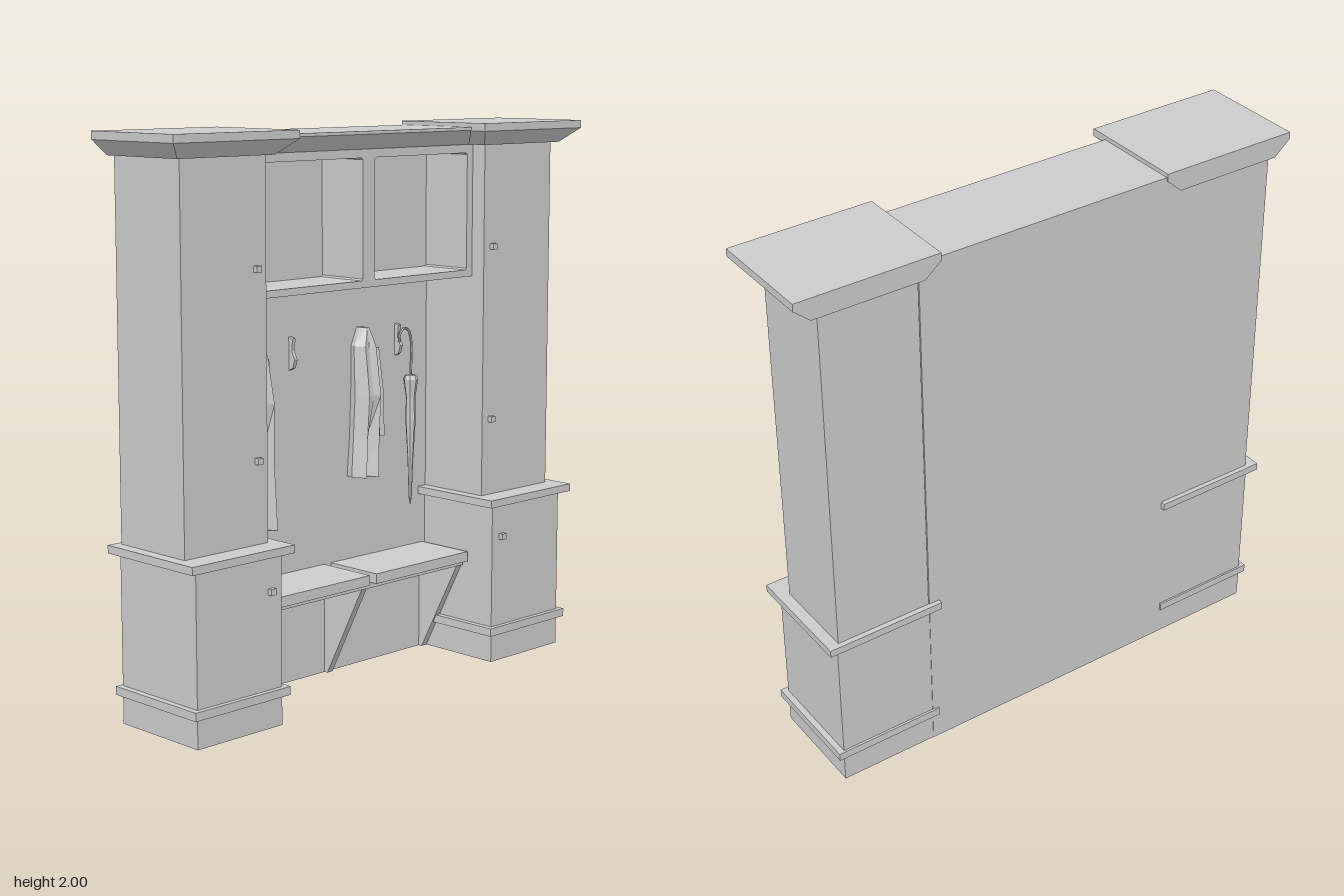
import * as THREE from 'three';

const grey = new THREE.MeshStandardMaterial({ color: 0xcccccc, flatShading: true, side: THREE.DoubleSide });

function add(parent, name, geometry) {
  const mesh = new THREE.Mesh(geometry, grey);
  mesh.name = name;
  parent.add(mesh);
  return mesh;
}

// Box given by its limits on each axis
function block(parent, name, x0, x1, y0, y1, z0, z1) {
  const g = new THREE.BoxGeometry(x1 - x0, y1 - y0, z1 - z0);
  g.translate((x0 + x1) / 2, (y0 + y1) / 2, (z0 + z1) / 2);
  return add(parent, name, g);
}

// Side profile of [z, y] points, extruded along x
function profile(parent, name, points, x0, x1) {
  const shape = new THREE.Shape(points.map(([z, y]) => new THREE.Vector2(-z, y)));
  const g = new THREE.ExtrudeGeometry(shape, { depth: x1 - x0, bevelEnabled: false });
  g.rotateY(Math.PI / 2);
  g.translate(x0, 0, 0);
  return add(parent, name, g);
}

// Cloth: lofted rings [y, left, right, depth, fold], pleated on the front
function cloth(parent, name, rings, back = -0.155) {
  const section = [[0, 0.35], [0.22, 0.9], [0.45, 0.5], [0.7, 1], [1, 0.4], [0.9, 0], [0.5, 0.1], [0.1, 0]];
  const n = section.length, pos = [], index = [];
  for (const [y, l, r, depth, fold] of rings) {
    section.forEach(([u, w], i) => {
      const pleat = i === 2 ? 0.95 - 0.6 * fold : w;
      pos.push(l + (r - l) * u, y, back + depth * pleat);
    });
  }
  for (let k = 0; k < rings.length - 1; k++) {
    for (let i = 0; i < n; i++) {
      const a = k * n + i, b = k * n + (i + 1) % n;
      index.push(a, a + n, b, b, a + n, b + n);
    }
  }
  const last = (rings.length - 1) * n;
  for (let i = 1; i < n - 1; i++) index.push(0, i, i + 1, last, last + i + 1, last + i);
  const g = new THREE.BufferGeometry();
  g.setAttribute('position', new THREE.Float32BufferAttribute(pos, 3));
  g.setIndex(index);
  g.computeVertexNormals();
  return add(parent, name, g);
}

function tower(side) {
  const t = new THREE.Group();
  t.name = side > 0 ? 'leftTower' : 'rightTower';
  t.position.x = side * 0.7175 - 0.0025;
  const centred = (name, w, y0, y1, z0, z1) => block(t, name, -w / 2, w / 2, y0, y1, z0, z1);
  centred('lowerCabinet', 0.375, 0, 0.6, -0.198, 0.19);
  centred('upperCabinet', 0.365, 0.62, 1.93, -0.198, 0.13);
  centred('baseBand', 0.42, 0.105, 0.135, -0.207, 0.208);
  centred('waistBand', 0.45, 0.597, 0.625, -0.218, 0.218);
  centred('crownSlab', 0.535, 1.972, 2, -0.206, 0.205);
  // Crown moulding narrows downwards on the front and sides
  const crown = centred('crownMoulding', 0.535, 1.92, 1.972, -0.204, 0.205);
  const p = crown.geometry.attributes.position;
  for (let i = 0; i < p.count; i++) {
    if (p.getY(i) > 1.95) continue;
    p.setX(i, Math.sign(p.getX(i)) * 0.207);
    if (p.getZ(i) > 0) p.setZ(i, 0.15);
  }
  crown.geometry.computeVertexNormals();
  // Door knobs near the inner edge
  for (const [y, z] of [[1.55, 0.13], [0.91, 0.13], [0.475, 0.19]]) {
    const x = -side * 0.138;
    block(t, 'knob', x - 0.011, x + 0.011, y - 0.011, y + 0.011, z - 0.002, z + 0.017);
  }
  return t;
}

function roundedHole(x0, x1, y0, y1, r) {
  const h = new THREE.Path();
  h.moveTo(x0 + r, y0);
  h.lineTo(x1 - r, y0);
  h.lineTo(x1, y0 + r);
  h.lineTo(x1, y1 - r);
  h.lineTo(x1 - r, y1);
  h.lineTo(x0 + r, y1);
  h.lineTo(x0, y1 - r);
  h.lineTo(x0, y0 + r);
  h.closePath();
  return h;
}

export function createModel() {
  const model = new THREE.Group();
  model.name = 'hallStand';
  model.add(tower(1), tower(-1));

  // Back panel
  block(model, 'backPanel', -0.9, 0.53, 0, 1.93, -0.2, -0.155);

  // Overhead cabinet with two open compartments
  const front = new THREE.Shape();
  front.moveTo(-0.535, 1.44);
  front.lineTo(0.53, 1.44);
  front.lineTo(0.53, 1.92);
  front.lineTo(-0.535, 1.92);
  front.closePath();
  front.holes.push(roundedHole(-0.525, -0.033, 1.465, 1.89, 0.006), roundedHole(0.025, 0.5, 1.465, 1.89, 0.006));
  const cabinet = add(model, 'overheadCabinet', new THREE.ExtrudeGeometry(front, { depth: 0.23, bevelEnabled: false }));
  cabinet.position.z = -0.156;
  block(model, 'cabinetBack', -0.53, 0.528, 1.45, 1.91, -0.158, -0.13);

  // Middle crown with sloping underside
  profile(model, 'middleCrown', [[-0.2, 1.92], [0.074, 1.92], [0.14, 1.974], [0.14, 1.985], [-0.2, 1.985]], -0.5, 0.5);

  // Bench: two seat lids on one board, with triangular brackets
  block(model, 'seatBoard', -0.515, 0.52, 0.35, 0.37, -0.156, 0.05);
  block(model, 'seatLid', -0.51, -0.003, 0.37, 0.407, -0.156, 0.08);
  block(model, 'seatLid', 0.03, 0.515, 0.37, 0.407, -0.156, 0.08);
  for (const x of [-0.003, 0.499]) {
    profile(model, 'seatBracket', [[-0.157, 0], [-0.14, 0], [0.04, 0.35], [-0.157, 0.35]], x, x + 0.026);
  }

  // Coat hooks
  for (const x of [-0.35, -0.167, 0.17, 0.367]) {
    profile(model, 'coatHook', [[-0.156, 1.14], [-0.135, 1.15], [-0.125, 1.18], [-0.14, 1.21], [-0.135, 1.255], [-0.156, 1.26]], x - 0.007, x + 0.007);
  }

  // Long coat
  const longCoat = new THREE.Group();
  longCoat.name = 'longCoat';
  cloth(longCoat, 'coatBody', [
    [1.282, -0.37, -0.345, 0.05, 0], [1.21, -0.405, -0.308, 0.07, 0.2], [1.05, -0.4, -0.3, 0.095, 0.1],
    [0.85, -0.4, -0.298, 0.09, 0.7], [0.6, -0.405, -0.288, 0.1, 1]]);
  cloth(longCoat, 'coatSleeve', [
    [1.2, -0.41, -0.385, 0.06, 0.2], [1.02, -0.425, -0.39, 0.07, 0.3], [0.835, -0.443, -0.41, 0.06, 0.6]]);
  cloth(longCoat, 'coatSleeve', [
    [1.2, -0.33, -0.306, 0.05, 0.2], [1.0, -0.33, -0.298, 0.05, 0.3], [0.83, -0.325, -0.297, 0.05, 0.6]]);

  // Short jacket
  const jacket = new THREE.Group();
  jacket.name = 'jacket';
  cloth(jacket, 'jacketBody', [
    [1.265, 0.16, 0.185, 0.05, 0], [1.2, 0.125, 0.222, 0.07, 0.2], [1.02, 0.122, 0.225, 0.095, 0.1],
    [0.86, 0.115, 0.222, 0.09, 0.7], [0.72, 0.103, 0.212, 0.1, 1]]);
  cloth(jacket, 'jacketSleeve', [
    [1.19, 0.2, 0.225, 0.06, 0.2], [1.02, 0.21, 0.243, 0.07, 0.3], [0.86, 0.224, 0.257, 0.06, 0.6]]);
  model.add(longCoat, jacket);

  // Folded umbrella hanging from the last hook
  const umbrella = new THREE.Group();
  umbrella.name = 'umbrella';
  const canopy = [[0, 0.57], [0.006, 0.6], [0.011, 0.75], [0.02, 0.9], [0.018, 0.98], [0.028, 1.05], [0.02, 1.065], [0, 1.068]];
  add(umbrella, 'umbrellaCanopy', new THREE.LatheGeometry(canopy.map(([r, y]) => new THREE.Vector2(r, y)), 7))
    .position.set(0.411, 0, -0.12);
  const handle = new THREE.CatmullRomCurve3(
    [[0.411, 1.06], [0.411, 1.2], [0.395, 1.238], [0.37, 1.243], [0.352, 1.225], [0.348, 1.195]]
      .map(([x, y]) => new THREE.Vector3(x, y, -0.12)));
  add(umbrella, 'umbrellaHandle', new THREE.TubeGeometry(handle, 14, 0.005, 6));
  model.add(umbrella);

  return model;
}
